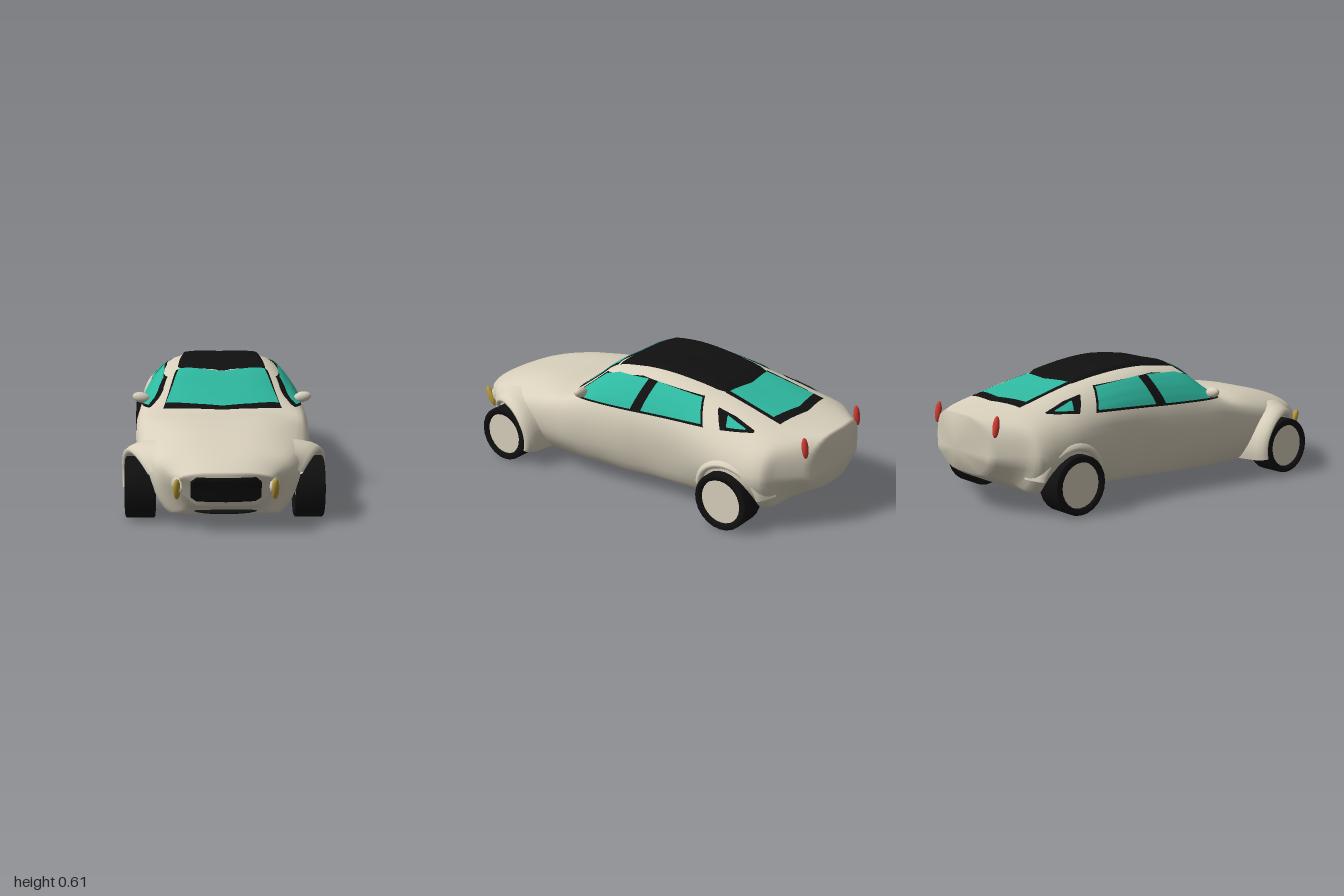
import * as THREE from 'three';

const mat = (color) => new THREE.MeshStandardMaterial({ color, side: THREE.DoubleSide });
const paint = mat(0xd8d0bc), glass = mat(0x2eb8a0), black = mat(0x101010), red = mat(0xd03a30), amber = mat(0xb89a38);
const { lerp, smoothstep, degToRad } = THREE.MathUtils;

// Body stations: z, floor half-width, waist half-width, shoulder x/y, roof edge x, top y
const STATIONS = [
  [0.99, 0.13, 0.19, 0.19, 0.24, 0.13, 0.27],
  [0.93, 0.18, 0.235, 0.235, 0.26, 0.15, 0.305],
  [0.83, 0.24, 0.3, 0.29, 0.29, 0.18, 0.347],
  [0.66, 0.26, 0.345, 0.355, 0.3, 0.22, 0.39],
  [0.48, 0.29, 0.375, 0.375, 0.33, 0.26, 0.41],
  [0.32, 0.31, 0.39, 0.382, 0.37, 0.28, 0.418],
  [0.22, 0.32, 0.39, 0.385, 0.39, 0.26, 0.485],
  [0.11, 0.32, 0.385, 0.38, 0.4, 0.245, 0.565],
  [-0.03, 0.32, 0.375, 0.37, 0.41, 0.24, 0.588],
  [-0.15, 0.31, 0.362, 0.36, 0.41, 0.235, 0.59],
  [-0.3, 0.31, 0.358, 0.353, 0.41, 0.23, 0.575],
  [-0.5, 0.31, 0.38, 0.358, 0.4, 0.23, 0.538],
  [-0.65, 0.31, 0.4, 0.365, 0.385, 0.235, 0.503],
  [-0.8, 0.3, 0.39, 0.35, 0.38, 0.21, 0.472],
  [-0.92, 0.24, 0.325, 0.3, 0.37, 0.18, 0.453],
  [-1.0, 0.12, 0.2, 0.2, 0.34, 0.13, 0.44],
];

// Rounds the nose and tail in plan and tucks their lower edges under
function bend(p) {
  const w = smoothstep(Math.abs(p.z), 0.8, 1);
  p.z -= Math.sign(p.z) * w * (p.x * p.x + 0.5 * Math.max(0, 0.25 - p.y));
  return p;
}

// Closed cross-section; the floor rises gently to the rear and sweeps up at both ends
function ring([z, wb, wm, ws, ys, wr, yt]) {
  const yb = 0.0785 - 0.027 * z + 0.07 * smoothstep(Math.abs(z), 0.85, 1);
  const ym = lerp(0.25, 0.19, smoothstep(z, -0.65, 0.48));
  const yr = yt - lerp(0.008, 0.02, smoothstep(yt, 0.27, 0.5));
  const half = [[wb * 0.85, yb], [wb, yb + 0.008], [wm, ym], [ws, ys], [wr, yr]];
  const pts = [[0, yb], ...half, [0, yt], ...half.map(([x, y]) => [-x, y]).reverse()];
  const curve = new THREE.CatmullRomCurve3(pts.map(([x, y]) => new THREE.Vector3(x, y, z)), true);
  return Array.from({ length: 48 }, (_, i) => bend(curve.getPoint(i / 48)));
}

// Rows of points to a smooth surface; closed joins the row ends
function skin(rows, closed = false, caps = []) {
  const n = rows[0].length, index = [];
  const last = (rows.length - 1) * n;
  for (let j = 0; j < rows.length - 1; j++) {
    for (let i = 0; i < (closed ? n : n - 1); i++) {
      const k = (i + 1) % n, a = j * n + i, b = j * n + k;
      index.push(a, a + n, b, b, a + n, b + n);
    }
  }
  if (caps.length) {
    for (let i = 0; i < n; i++) {
      const k = (i + 1) % n;
      index.push(last + n, i, k, last + n + 1, last + k, last + i);
    }
  }
  const g = new THREE.BufferGeometry().setFromPoints(rows.flat().concat(caps));
  g.setIndex(index);
  g.computeVertexNormals();
  return g;
}

function buildBody() {
  const rings = STATIONS.map(ring), count = (STATIONS.length - 1) * 4;
  const columns = rings[0].map((_, i) => new THREE.CatmullRomCurve3(rings.map((r) => r[i])));
  const rows = Array.from({ length: count + 1 }, (_, j) => columns.map((c) => c.getPoint(j / count)));
  const caps = [new THREE.Vector3(0, 0.2, 0.965), new THREE.Vector3(0, 0.28, -1)];
  return new THREE.Mesh(skin(rows, true, caps), paint);
}

// Samples a 2D polyline at t from 0 to 1
function along(line, t) {
  const s = t * (line.length - 1), i = Math.min(Math.floor(s), line.length - 2);
  return [0, 1].map((k) => lerp(line[i][k], line[i + 1][k], s - i));
}

// Panel between two edge lines, projected onto the body; rim closes its border down to the body
function panel(body, project, lower, upper, lift, rim = false) {
  const ray = new THREE.Raycaster(), nu = 24, nv = 12, rows = [];
  let prev = new THREE.Vector3();
  for (let j = 0; j <= nv; j++) {
    const row = [];
    for (let i = 0; i <= nu; i++) {
      const a = along(lower, i / nu), b = along(upper, i / nu);
      const [from, dir] = project(lerp(a[0], b[0], j / nv), lerp(a[1], b[1], j / nv));
      ray.set(from, dir);
      const hit = ray.intersectObject(body)[0];
      const edge = rim && (i === 0 || j === 0 || i === nu || j === nv);
      if (hit) prev = hit.point.clone().addScaledVector(hit.face.normal, edge ? -0.003 : lift);
      row.push(prev.clone());
    }
    rows.push(row);
  }
  return skin(rows);
}
const V = (x, y, z) => new THREE.Vector3(x, y, z);
const fromTop = (x, z) => [V(x, 2, z), V(0, -1, 0)];
const fromFront = (x, y) => [V(x, y, 2), V(0, 0, -1)];
const fromSide = (s) => (z, y) => [V(2 * s, y, z), V(-s, 0, 0)];

// Edge line mirrored about x = 0, bowed by its middle point
const bow = (x, edge, middle) => [[-x, edge], [0, middle], [x, edge]];

// Flared arch around a wheel; reach(t) gives its outer x from front to back
function arch(side, zc, a0, a1, reach) {
  const rows = [];
  for (let j = 0; j <= 24; j++) {
    const t = j / 24, a = degToRad(lerp(a0, a1, t)), x = reach(t);
    const section = [[0.148, 0.3], [0.148, x - 0.012], [0.156, x - 0.002], [0.168, x], [0.182, x - 0.016], [0.196, x - 0.045], [0.212, 0.3]];
    rows.push(section.map(([r, px]) => V(px * side, 0.135 + r * Math.sin(a), zc + r * Math.cos(a))));
  }
  return skin(rows);
}

const ellipsoid = (rx, ry, rz) => new THREE.SphereGeometry(1, 20, 12).scale(rx, ry, rz);

function wheel() {
  const g = new THREE.Group();
  const half = [[0.104, 0.045], [0.104, 0.065], [0.128, 0.065], [0.135, 0.06]];
  const profile = [...half.map(([r, y]) => [r, -y]), ...half.reverse()];
  const tyre = new THREE.Mesh(new THREE.LatheGeometry(profile.map(([r, y]) => new THREE.Vector2(r, y)), 24), black);
  const hub = new THREE.Mesh(new THREE.CylinderGeometry(0.105, 0.105, 0.104, 24), paint);
  tyre.name = 'tyre';
  hub.name = 'hub';
  g.add(tyre, hub);
  g.rotation.z = Math.PI / 2;
  return g;
}

export function createModel() {
  const car = new THREE.Group();
  car.name = 'car';
  const add = (name, obj, material) => {
    const m = obj.isBufferGeometry ? new THREE.Mesh(obj, material) : obj;
    m.name = name;
    car.add(m);
    return m;
  };
  const body = add('body', buildBody());

  // Windscreen, roof and rear window
  const top = (name, m, lower, upper, lift, rim) => add(name, panel(body, fromTop, lower, upper, lift, rim), m);
  top('windscreenFrame', black, bow(0.275, 0.3, 0.345), bow(0.215, 0.1, 0.13), 0.004);
  top('windscreen', glass, bow(0.262, 0.27, 0.31), bow(0.2, 0.1, 0.13), 0.008);
  top('roofPanel', black, bow(0.215, 0.105, 0.135), bow(0.175, -0.49, -0.525), 0.014, true);
  top('rearWindowFrame', black, bow(0.175, -0.48, -0.5), bow(0.19, -0.78, -0.81), 0.004);
  top('rearWindow', glass, bow(0.155, -0.49, -0.51), bow(0.175, -0.735, -0.765), 0.008);

  // Grille and lower intake
  add('grille', panel(body, fromFront,
    [[-0.152, 0.155], [-0.125, 0.135], [0.125, 0.135], [0.152, 0.155]],
    [[-0.15, 0.235], [-0.125, 0.26], [0.125, 0.26], [0.15, 0.235]], 0.006, true), black);
  add('lowerIntake', ellipsoid(0.14, 0.012, 0.05), black).position.set(0, 0.078, 0.84);

  for (const s of [1, -1]) {
    const tag = s > 0 ? 'left' : 'right';
    // Side glass over a dark frame
    const pane = (name, m, lower, upper, lift) => add(tag + name, panel(body, fromSide(s), lower, upper, lift), m);
    pane('WindowFrame', black, [[0.275, 0.41], [-0.1, 0.416], [-0.475, 0.425]], [[0.13, 0.53], [-0.08, 0.556], [-0.415, 0.528]], 0.004);
    pane('FrontWindow', glass, [[0.255, 0.417], [-0.08, 0.424]], [[0.12, 0.525], [0.05, 0.545], [-0.12, 0.55]], 0.008);
    pane('RearWindow', glass, [[-0.135, 0.426], [-0.46, 0.434]], [[-0.17, 0.548], [-0.41, 0.522]], 0.008);
    pane('QuarterFrame', black, [[-0.505, 0.495], [-0.56, 0.43], [-0.71, 0.44]], [[-0.505, 0.5], [-0.6, 0.48], [-0.71, 0.446]], 0.004);
    pane('QuarterWindow', glass, [[-0.565, 0.475], [-0.585, 0.442], [-0.67, 0.444]], [[-0.565, 0.48], [-0.62, 0.463], [-0.67, 0.448]], 0.008);

    // Wheels and arches
    for (const [end, z] of [['Front', 0.66], ['Rear', -0.63]]) {
      add(tag + end + 'Wheel', wheel()).position.set(0.37 * s, 0.136, z);
    }
    add(tag + 'FrontArch', arch(s, 0.66, 35, 195, (t) => 0.335 + 0.122 * Math.sin(Math.min(1, t * 1.3) * Math.PI / 2)), paint);
    add(tag + 'RearArch', arch(s, -0.63, 10, 170, (t) => 0.38 + 0.03 * Math.sin(t * Math.PI)), paint);

    // Headlight with a ridge running back along the bonnet
    const ridge = add(tag + 'HeadlightRidge', ellipsoid(0.022, 0.05, 0.16), paint);
    ridge.position.set(0.232 * s, 0.245, 0.82);
    ridge.rotation.set(0.3, -0.3 * s, 0, 'YXZ');
    const lamp = add(tag + 'Headlight', ellipsoid(0.016, 0.054, 0.018), amber);
    lamp.position.set(0.207 * s, 0.2, 0.948);
    lamp.rotation.x = 0.45;

    // Tail light and door mirror
    const tail = add(tag + 'TailLight', ellipsoid(0.017, 0.048, 0.014), red);
    tail.position.set(0.232 * s, 0.405, -0.935);
    tail.rotation.x = 0.15;
    const mirror = add(tag + 'Mirror', ellipsoid(0.042, 0.025, 0.022), paint);
    mirror.position.set(0.378 * s, 0.448, 0.2);
    mirror.rotation.z = 0.2 * s;
  }
  return car;
}
